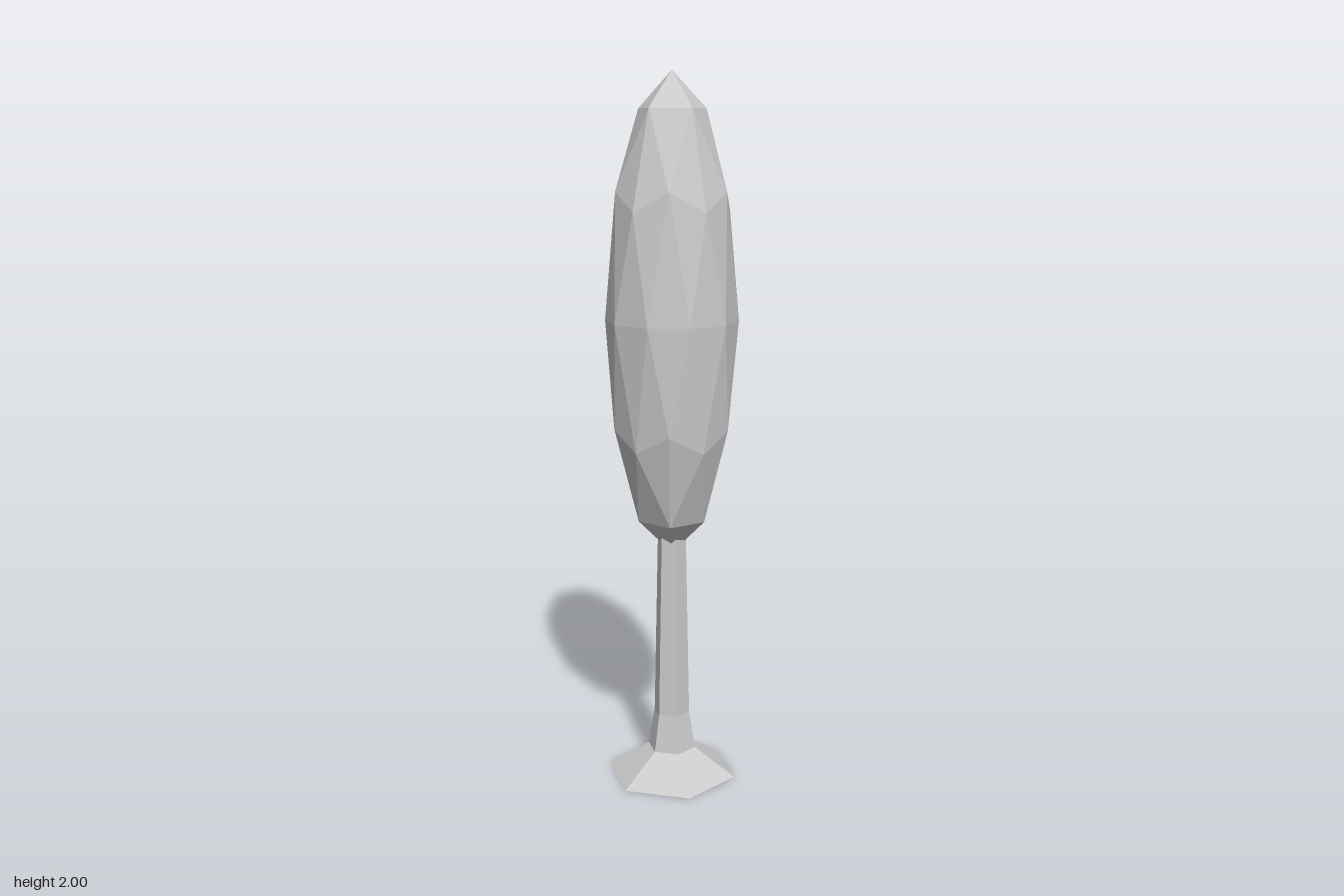
import * as THREE from 'three';

export function createModel() {
  const group = new THREE.Group();
  group.name = 'tree';

  // Faceted crown: an icosphere stood on one vertex, then stretched upward
  const crownGeometry = new THREE.IcosahedronGeometry(1, 1);
  const golden = (1 + Math.sqrt(5)) / 2;
  crownGeometry.rotateZ(-Math.atan(1 / golden));
  crownGeometry.scale(0.184, 0.665, 0.184);
  const crown = new THREE.Mesh(
    crownGeometry,
    new THREE.MeshStandardMaterial({ color: 0xcccccc, flatShading: true })
  );
  crown.name = 'crown';
  crown.position.y = 1.335;
  group.add(crown);

  // Six-sided trunk with a flared, open foot
  const profile = [
    [0.188, 0],
    [0.07, 0.08],
    [0.052, 0.19],
    [0.041, 0.72],
  ].map(([r, y]) => new THREE.Vector2(r, y));
  const trunk = new THREE.Mesh(
    new THREE.LatheGeometry(profile, 6),
    new THREE.MeshStandardMaterial({ color: 0xcccccc, flatShading: true, side: THREE.DoubleSide })
  );
  trunk.name = 'trunk';
  group.add(trunk);

  return group;
}
